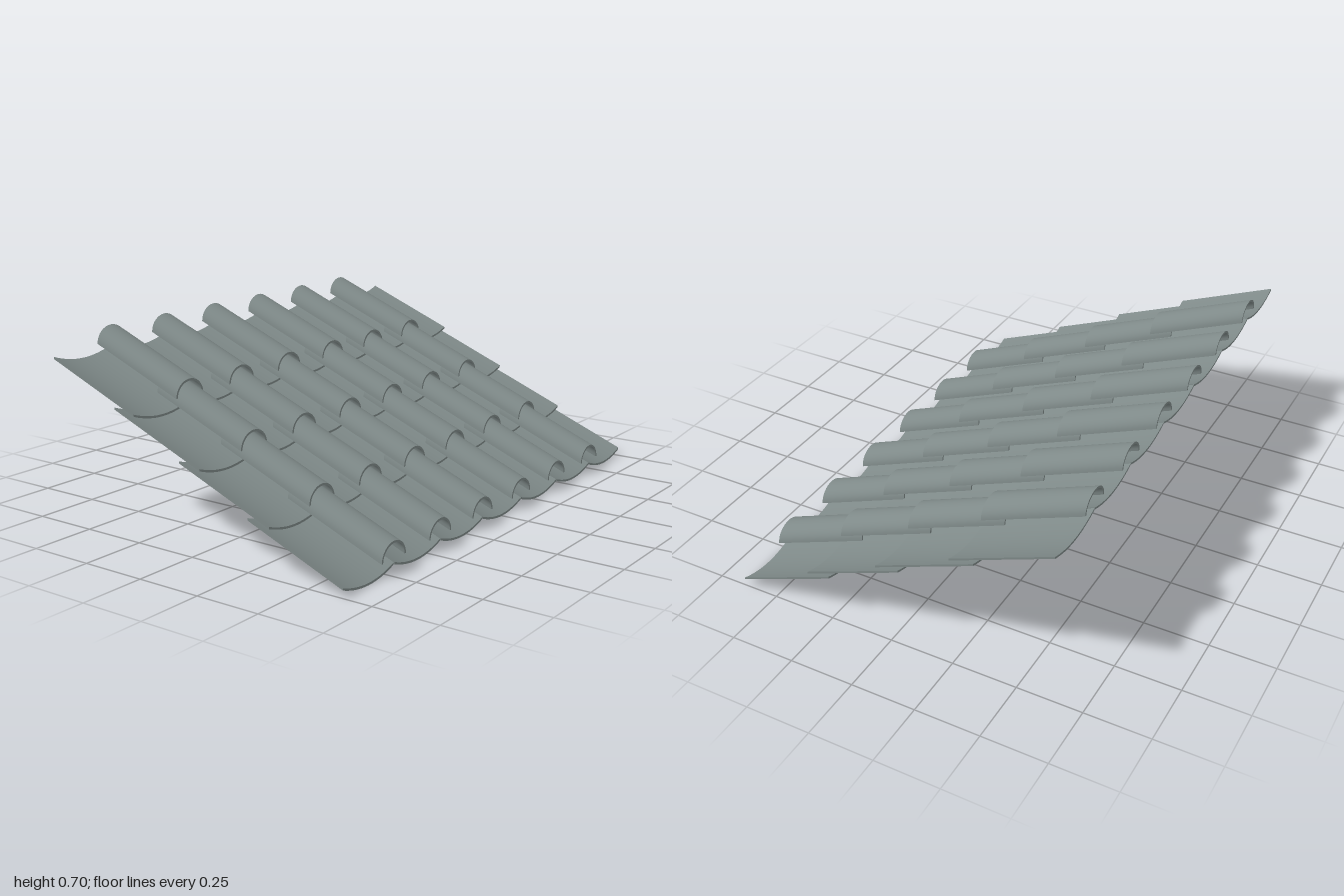
import * as THREE from 'three';
import { toCreasedNormals } from 'three/addons/utils/BufferGeometryUtils.js';

const ROWS = 4, COLS = 7;
const PITCH = 0.2862, PAN_WIDTH = 2 - PITCH * (COLS - 1); // narrow gaps between pans
const LENGTH = 0.388, SLOPE = 0.4, THICK = 0.008;
const ROW_Z = 0.2967, ROW_Y = 0.1433;

// Closed strip between an outer and an inner curve, t running 0..1
function stripShape(outer, inner, steps) {
  const pts = [];
  for (let i = 0; i <= steps; i++) pts.push(outer(i / steps));
  for (let i = steps; i >= 0; i--) pts.push(inner(i / steps));
  return new THREE.Shape(pts);
}

// Extrude backwards along the roof, rising with the slope while the ends stay upright
function slopedTile(shape) {
  const g = new THREE.ExtrudeGeometry(shape, { depth: LENGTH, bevelEnabled: false });
  g.translate(0, 0, -LENGTH);
  const p = g.attributes.position;
  for (let i = 0; i < p.count; i++) p.setY(i, p.getY(i) - p.getZ(i) * SLOPE);
  return toCreasedNormals(g, 0.6);
}

export function createModel() {
  const model = new THREE.Group();
  model.name = 'tiledRoof';
  const slate = new THREE.MeshStandardMaterial({ color: 0x7e8988 });
  slate.name = 'greyTile';

  // Shallow concave pan tile
  const sag = 0.027;
  const panCurve = (lift) => (t) => {
    const u = 2 * t - 1;
    return new THREE.Vector2(u * PAN_WIDTH / 2, sag * u * u + lift);
  };
  const panGeo = slopedTile(stripShape(panCurve(0), panCurve(THICK), 16));

  // Arched cover tile
  const archCurve = (rx, ry) => (t) =>
    new THREE.Vector2(-rx * Math.cos(Math.PI * t), 0.047 + ry * Math.sin(Math.PI * t));
  const coverGeo = slopedTile(
    stripShape(archCurve(0.071, 0.063), archCurve(0.071 - THICK, 0.063 - THICK), 16));

  // Overlapping courses, from the eave at the front to the ridge at the back
  for (let r = 0; r < ROWS; r++) {
    const course = new THREE.Group();
    course.name = 'course' + (r + 1);
    course.position.set(0, r * ROW_Y, 0.639 - r * ROW_Z);
    for (let c = 0; c < COLS; c++) {
      const x = (c - (COLS - 1) / 2) * PITCH;
      const pan = new THREE.Mesh(panGeo, slate);
      pan.name = 'panTile';
      pan.position.x = x;
      course.add(pan);
      // covers sit over the joints between pans
      if (c < COLS - 1) {
        const cover = new THREE.Mesh(coverGeo, slate);
        cover.name = 'coverTile';
        cover.position.x = x + PITCH / 2;
        course.add(cover);
      }
    }
    model.add(course);
  }
  return model;
}
